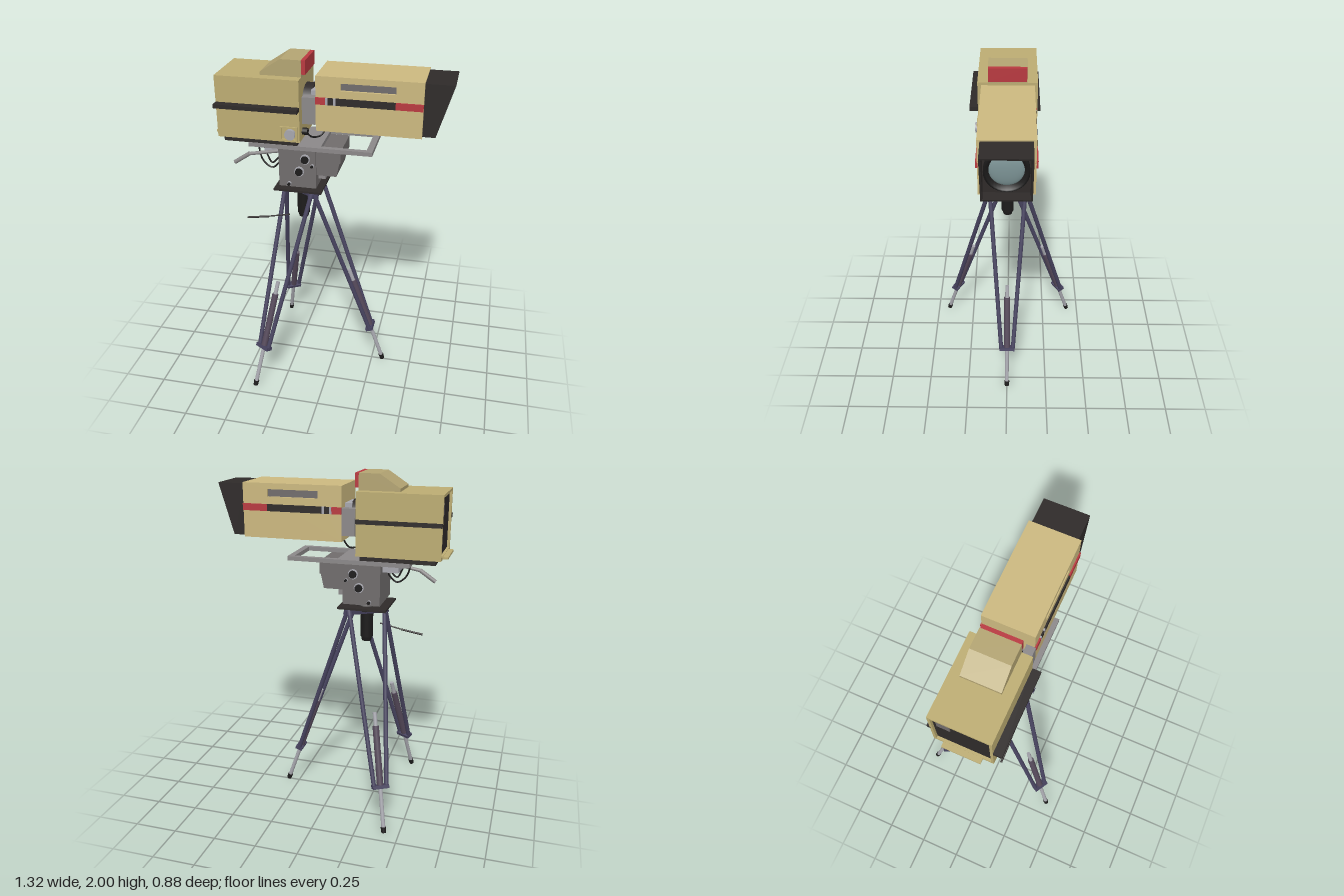
import * as THREE from 'three';

const mat = (color) => new THREE.MeshStandardMaterial({ color, side: THREE.DoubleSide });
const M = {
  tan: mat(0xcbb87f), body: mat(0xbcac72), hump: mat(0xb3a472), dark: mat(0x2e2a29), black: mat(0x1c1b1b),
  grey: mat(0x706c6c), mid: mat(0x8b8889), light: mat(0xa6a6ad), purple: mat(0x47435f),
  plum: mat(0x55495a), red: mat(0xb8393f), glass: mat(0x7b9294),
};
const V = (x, y, z) => new THREE.Vector3(x, y, z);

export function createModel() {
  const root = new THREE.Group();
  const group = (name) => {
    const g = new THREE.Group();
    g.name = name;
    root.add(g);
    return g;
  };
  const add = (parent, name, geo, m) => {
    const mesh = new THREE.Mesh(geo, m);
    mesh.name = name;
    parent.add(mesh);
    return mesh;
  };
  const box = (parent, name, m, x0, x1, y0, y1, z0, z1) => {
    const mesh = add(parent, name, new THREE.BoxGeometry(x1 - x0, y1 - y0, z1 - z0), m);
    mesh.position.set((x0 + x1) / 2, (y0 + y1) / 2, (z0 + z1) / 2);
    return mesh;
  };
  const rod = (parent, name, m, a, b, r, r2 = r, sides = 14) => {
    const d = b.clone().sub(a);
    const mesh = add(parent, name, new THREE.CylinderGeometry(r2, r, d.length(), sides), m);
    mesh.position.copy(a).addScaledVector(d, 0.5);
    mesh.quaternion.setFromUnitVectors(V(0, 1, 0), d.normalize());
    return mesh;
  };
  const rect = (S, x0, x1, y0, y1) => {
    const s = new S();
    s.moveTo(x0, y0).lineTo(x1, y0).lineTo(x1, y1).lineTo(x0, y1).closePath();
    return s;
  };
  const framed = (outer, inner, depth) => {
    const s = rect(THREE.Shape, ...outer);
    s.holes.push(rect(THREE.Path, ...inner));
    return new THREE.ExtrudeGeometry(s, { depth, bevelEnabled: false });
  };
  const profile = (parent, name, m, pts, z0, z1) => {
    const s = new THREE.Shape(pts.map(([x, y]) => new THREE.Vector2(x, y)));
    add(parent, name, new THREE.ExtrudeGeometry(s, { depth: z1 - z0, bevelEnabled: false }), m).position.z = z0;
  };
  const cable = (parent, name, pts, r = 0.005) =>
    add(parent, name, new THREE.TubeGeometry(new THREE.CatmullRomCurve3(pts), 30, r, 8), M.black);

  // Camera body: a sleeve open at the rear, closed by a recessed dark panel
  const body = group('cameraBody');
  const shell = framed([-0.165, 0.165, 1.555, 1.905], [-0.15, 0.15, 1.572, 1.89], 0.47);
  add(body, 'bodyShell', shell.rotateY(Math.PI / 2), M.body).position.x = -0.63;
  box(body, 'rearPanel', M.dark, -0.615, -0.59, 1.57, 1.892, -0.152, 0.152);
  box(body, 'rearGrille', M.grey, -0.62, -0.612, 1.78, 1.85, -0.13, -0.06);
  box(body, 'bodyFront', M.body, -0.18, -0.16, 1.57, 1.892, -0.152, 0.152);
  box(body, 'rearLip', M.body, -0.66, -0.62, 1.558, 1.57, -0.11, 0.105);
  box(body, 'leftBodyStrip', M.dark, -0.63, -0.16, 1.735, 1.757, 0.16, 0.212);
  box(body, 'rightBodyStrip', M.dark, -0.63, -0.16, 1.735, 1.757, -0.181, -0.16);
  box(body, 'bodyBase', M.dark, -0.60, -0.18, 1.528, 1.558, -0.15, 0.15);
  const port = framed([-0.272, -0.172, 1.565, 1.645], [-0.262, -0.182, 1.573, 1.637], 0.012);
  add(body, 'portFrame', port, M.body).position.z = 0.163;
  rod(body, 'portKnob', M.light, V(-0.212, 1.603, 0.16), V(-0.212, 1.603, 0.185), 0.03, 0.03, 24);

  // Roof hump with a red signal lamp
  profile(body, 'roofHump', M.hump,
    [[-0.39, 1.9], [-0.16, 1.9], [-0.16, 1.997], [-0.275, 1.997], [-0.39, 1.922]], -0.108, 0.106);
  box(body, 'signalLamp', M.red, -0.16, -0.138, 1.92, 1.997, -0.105, 0.105);

  // Mount between body and lens
  const mount = group('lensMount');
  box(mount, 'mountPlate', M.light, -0.115, -0.075, 1.65, 1.83, -0.08, 0.08);
  rod(mount, 'mountRing', M.dark, V(-0.165, 1.74, 0), V(-0.11, 1.74, 0), 0.105, 0.105, 28);
  for (const s of [-1, 1]) {
    box(mount, 'mountBracket', M.mid, -0.15, -0.075, 1.66, 1.81, s * 0.12 - 0.025, s * 0.12 + 0.025);
    rod(mount, 'mountBolt', M.light, V(-0.16, 1.69, s * 0.09), V(-0.08, 1.69, s * 0.09), 0.014);
  }
  rod(mount, 'cableSocket', M.black, V(-0.165, 1.6, 0.1), V(-0.13, 1.6, 0.1), 0.02);
  cable(mount, 'lensCable', [V(-0.14, 1.6, 0.1), V(-0.115, 1.563, 0.08), V(-0.07, 1.56, 0.04), V(-0.03, 1.63, 0.01)]);

  // Lens housing: core with slotted side panels and colour bands
  const lens = group('lensHousing');
  box(lens, 'lensCore', M.tan, -0.075, 0.5, 1.625, 1.93, -0.128, 0.122);
  box(lens, 'slotBack', M.grey, 0.05, 0.365, 1.85, 1.9, -0.131, 0.125);
  for (const z of [-0.145, 0.122]) {
    add(lens, 'sidePanel', framed([-0.075, 0.5, 1.625, 1.93], [0.06, 0.355, 1.856, 1.897], 0.018), M.tan).position.z = z;
  }
  const bands = [[-0.075, -0.02, M.red], [-0.02, -0.008, M.light], [-0.008, 0.022, M.dark],
    [0.022, 0.036, M.light], [0.036, 0.355, M.dark], [0.355, 0.5, M.red]];
  for (const [x0, x1, m] of bands) {
    box(lens, 'leftBand', m, x0, x1, 1.777, 1.815, 0.135, 0.148);
    box(lens, 'rightBand', m, x0, x1, 1.777, 1.815, -0.154, -0.14);
  }

  // Hood: a sleeve whose front edge slants with height
  const hood = framed([-0.125, 0.129, 1.632, 1.922], [-0.115, 0.119, 1.642, 1.912], 0.1).rotateY(Math.PI / 2);
  const p = hood.attributes.position;
  for (let i = 0; i < p.count; i++) {
    p.setX(i, p.getX(i) > 0.05 ? 0.57 + (p.getY(i) - 1.632) * 0.295 : 0.495);
  }
  hood.computeVertexNormals();
  add(lens, 'lensHood', hood, M.dark);
  box(lens, 'hoodBack', M.dark, 0.495, 0.506, 1.635, 1.918, -0.127, 0.122);
  const barrel = add(lens, 'lensBarrel', new THREE.LatheGeometry(
    [[0.113, 0], [0.113, 0.03], [0.1, 0.035], [0.087, 0.01]].map(([r, y]) => new THREE.Vector2(r, y)), 32), M.black);
  barrel.rotation.z = -Math.PI / 2;
  barrel.position.set(0.506, 1.777, -0.002);
  const glass = add(lens, 'lensGlass', new THREE.SphereGeometry(0.088, 32, 10, 0, Math.PI * 2, 0, Math.PI / 2), M.glass);
  glass.scale.y = 0.25;
  glass.rotation.z = -Math.PI / 2;
  glass.position.set(0.512, 1.777, -0.002);

  // Sliding plate with an open front frame
  const head = group('panHead');
  const plate = framed([-0.46, 0.24, -0.155, 0.155], [-0.05, 0.205, -0.125, 0.125], 0.024);
  add(head, 'slidingPlate', plate.rotateX(-Math.PI / 2), M.mid).position.y = 1.505;

  // Pan head blocks and knobs
  box(head, 'headBlock', M.grey, -0.295, -0.08, 1.27, 1.506, -0.133, 0.133);
  profile(head, 'headFront', M.grey,
    [[-0.085, 1.35], [0.035, 1.35], [0.052, 1.43], [0.06, 1.435], [0.06, 1.506], [-0.085, 1.506]], -0.122, 0.122);
  box(head, 'headNose', M.mid, -0.085, -0.038, 1.305, 1.352, -0.07, 0.07);
  box(head, 'rearCatch', M.light, -0.385, -0.295, 1.455, 1.506, -0.08, 0.1);
  const knobs = [[-0.14, 1.447, 0.028], [-0.175, 1.37, 0.028], [-0.235, 1.29, 0.012], [-0.1, 1.41, 0.01]];
  for (const s of [-1, 1]) for (const [x, y, r] of knobs) {
    rod(head, 'knobRim', M.light, V(x, y, s * 0.13), V(x, y, s * 0.143), r, r, 24);
    rod(head, 'knob', M.black, V(x, y, s * 0.13), V(x, y, s * 0.155), r * 0.8, r * 0.75, 24);
  }
  rod(head, 'handleArm', M.mid, V(-0.27, 1.475, 0.1), V(-0.48, 1.435, 0.1), 0.01);
  rod(head, 'handleGrip', M.mid, V(-0.475, 1.438, 0.1), V(-0.568, 1.375, 0.1), 0.012);
  for (const d of [0, 0.03]) {
    cable(head, 'headCable', [V(-0.43 + d, 1.51, 0.08), V(-0.4 + d, 1.4 + d, 0.09),
      V(-0.345, 1.36 + d, 0.09), V(-0.3, 1.4 + d, 0.08), V(-0.28, 1.44, 0.06)]);
  }

  // Tripod top
  const tripod = group('tripod');
  rod(tripod, 'headCollar', M.black, V(-0.19, 1.245, 0), V(-0.19, 1.272, 0), 0.085, 0.07, 28);
  box(tripod, 'topPlate', M.dark, -0.33, -0.05, 1.237, 1.249, -0.14, 0.14);
  rod(tripod, 'plateNeck', M.black, V(-0.18, 1.21, 0), V(-0.18, 1.24, 0), 0.07, 0.07, 24);
  const crown = add(tripod, 'crown', new THREE.CylinderGeometry(0.13, 0.13, 0.03, 3), M.purple);
  crown.rotation.y = -Math.PI / 2;
  crown.position.set(-0.17, 1.213, 0);
  rod(tripod, 'centreColumn', M.black, V(-0.19, 1.045, 0), V(-0.19, 1.21, 0), 0.037, 0.037, 20);
  rod(tripod, 'columnCap', M.black, V(-0.19, 1.02, 0), V(-0.19, 1.05, 0), 0.028, 0.034, 20);
  rod(tripod, 'panLever', M.dark, V(-0.24, 1.086, 0.132), V(-0.39, 1.055, 0.134), 0.004);
  rod(tripod, 'panLeverGrip', M.dark, V(-0.37, 1.058, 0.134), V(-0.5, 1.037, 0.135), 0.006);

  // Three legs: paired upper tubes, a sliding inner tube and a foot
  for (let i = 0; i < 3; i++) {
    const leg = new THREE.Group();
    leg.name = 'leg';
    leg.position.x = -0.17;
    leg.rotation.y = (i * Math.PI * 2) / 3;
    tripod.add(leg);
    const at = (y, z = 0) => V(0.07 + (1.22 - y) * 0.346, y, z);
    for (const s of [-1, 1]) {
      rod(leg, 'upperTube', M.purple, at(1.22, s * 0.105), at(0.255, s * 0.037), 0.013);
      rod(leg, 'legHinge', M.purple, at(1.2, s * 0.105), at(1.228, s * 0.107), 0.018);
    }
    const clamp = box(leg, 'legClamp', M.purple, -0.022, 0.022, -0.01, 0.01, -0.048, 0.048);
    clamp.position.copy(at(0.257));
    clamp.rotation.z = 0.333;
    rod(leg, 'innerSleeve', M.plum, at(0.255), at(0.59), 0.019);
    rod(leg, 'innerRod', M.light, at(0.58), at(0.665), 0.012);
    rod(leg, 'lowerRod', M.light, at(0.03), at(0.26), 0.012);
    rod(leg, 'foot', M.black, at(0.004), at(0.034), 0.014, 0.016);
  }
  return root;
}
